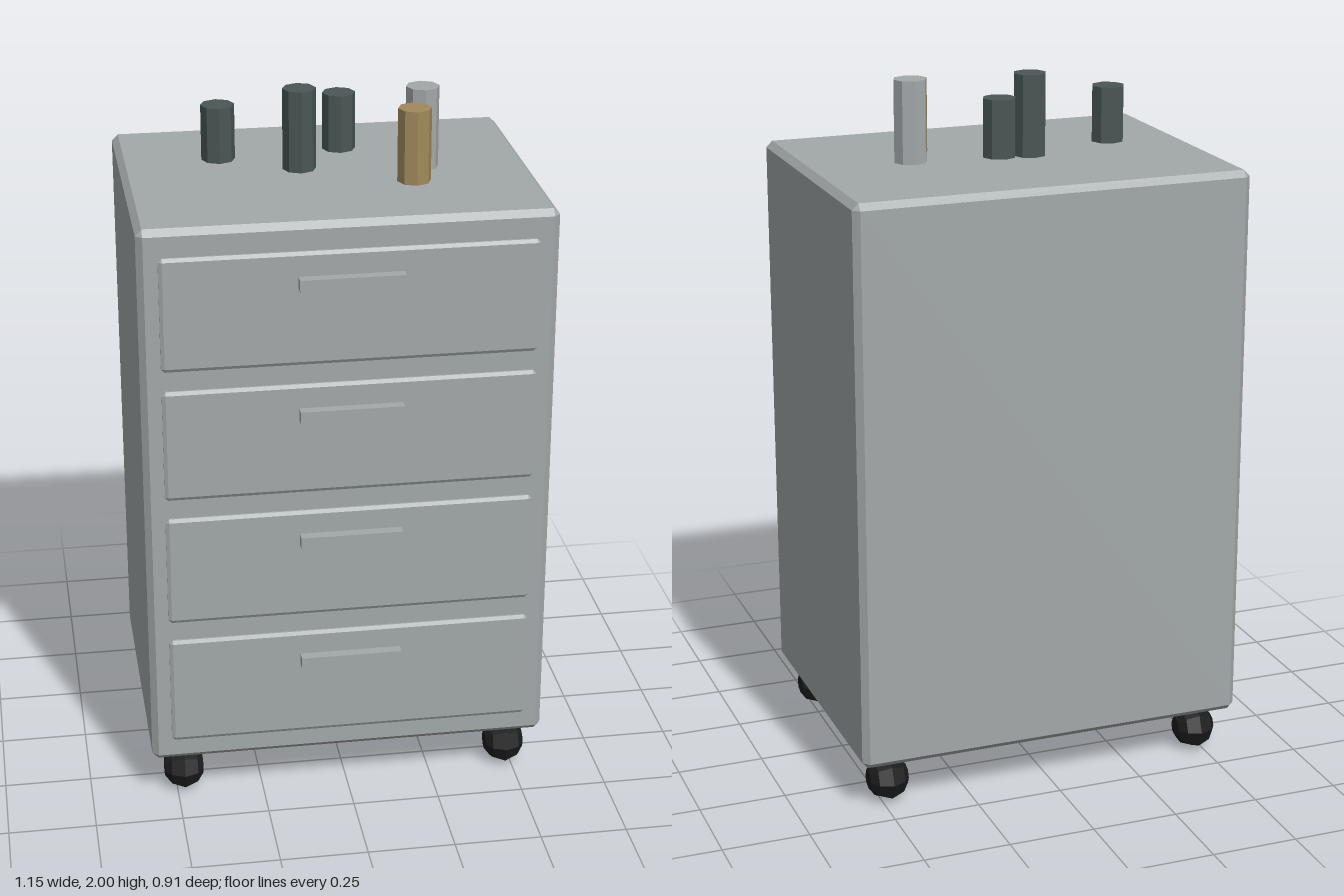
import * as THREE from 'three';
import { ConvexGeometry } from 'three/addons/geometries/ConvexGeometry.js';

// Box with every edge cut flat by c (cz: the cut along z)
function chamferBox(w, h, d, c, cz = c) {
  const points = [];
  const half = [w / 2, h / 2, d / 2], cut = [c, c, cz];
  for (const sx of [-1, 1]) for (const sy of [-1, 1]) for (const sz of [-1, 1]) {
    for (let face = 0; face < 3; face++) {
      const p = half.map((v, i) => (i === face ? v : v - cut[i]));
      points.push(new THREE.Vector3(p[0] * sx, p[1] * sy, p[2] * sz));
    }
  }
  return new ConvexGeometry(points);
}

export function createModel() {
  const model = new THREE.Group();
  const material = (name, color) => {
    const m = new THREE.MeshStandardMaterial({ color, flatShading: true });
    m.name = name;
    return m;
  };
  const grey = material('cabinet grey', 0xa3a8a8);
  const slate = material('slate', 0x4a5655);
  const tan = material('tan', 0xa08a5c);
  const black = material('wheel black', 0x1c1c1c);

  const add = (name, geometry, mat, x, y, z, parent = model) => {
    const mesh = new THREE.Mesh(geometry, mat);
    mesh.name = name;
    mesh.position.set(x, y, z);
    parent.add(mesh);
    return mesh;
  };

  // Cabinet body
  add('cabinetBody', chamferBox(1.148, 1.626, 0.86, 0.018), grey, 0, 0.953, -0.025);

  // Four drawers, each with a bar handle
  const frontGeometry = chamferBox(1.036, 0.326, 0.017, 0.01, 0.006);
  const handleGeometry = new THREE.BoxGeometry(0.288, 0.034, 0.03);
  for (let i = 0; i < 4; i++) {
    const drawer = new THREE.Group();
    drawer.name = 'drawer';
    drawer.position.set(0, 0.377 + i * 0.3837, 0);
    add('drawerFront', frontGeometry, grey, 0, 0, 0.414, drawer);
    add('drawerHandle', handleGeometry, grey, 0, 0.077, 0.438, drawer);
    model.add(drawer);
  }

  // Rounded eight-sided castors, axles along x
  const profile = [[0, -0.056], [0.028, -0.056], [0.053, -0.038], [0.068, 0],
    [0.053, 0.038], [0.028, 0.056], [0, 0.056]].map(([r, y]) => new THREE.Vector2(r, y));
  const castorGeometry = new THREE.LatheGeometry(profile, 8).rotateZ(Math.PI / 2);
  for (const x of [-0.479, 0.479]) for (const z of [-0.366, 0.322]) {
    add('castor', castorGeometry, black, x, 0.068, z);
  }

  // Eight-sided canisters on and above the top: x, z, bottom, top, colour
  const canisters = [
    [-0.3, -0.077, 1.796, 1.955, slate],
    [-0.074, -0.049, 1.766, 2.0, slate],
    [0.052, -0.141, 1.79, 1.955, slate],
    [0.27, -0.018, 1.766, 2.0, grey],
    [0.226, 0.104, 1.766, 1.976, tan],
  ];
  for (const [x, z, bottom, top, mat] of canisters) {
    add('canister', new THREE.CylinderGeometry(0.0475, 0.0475, top - bottom, 8), mat, x, (bottom + top) / 2, z);
  }

  return model;
}
